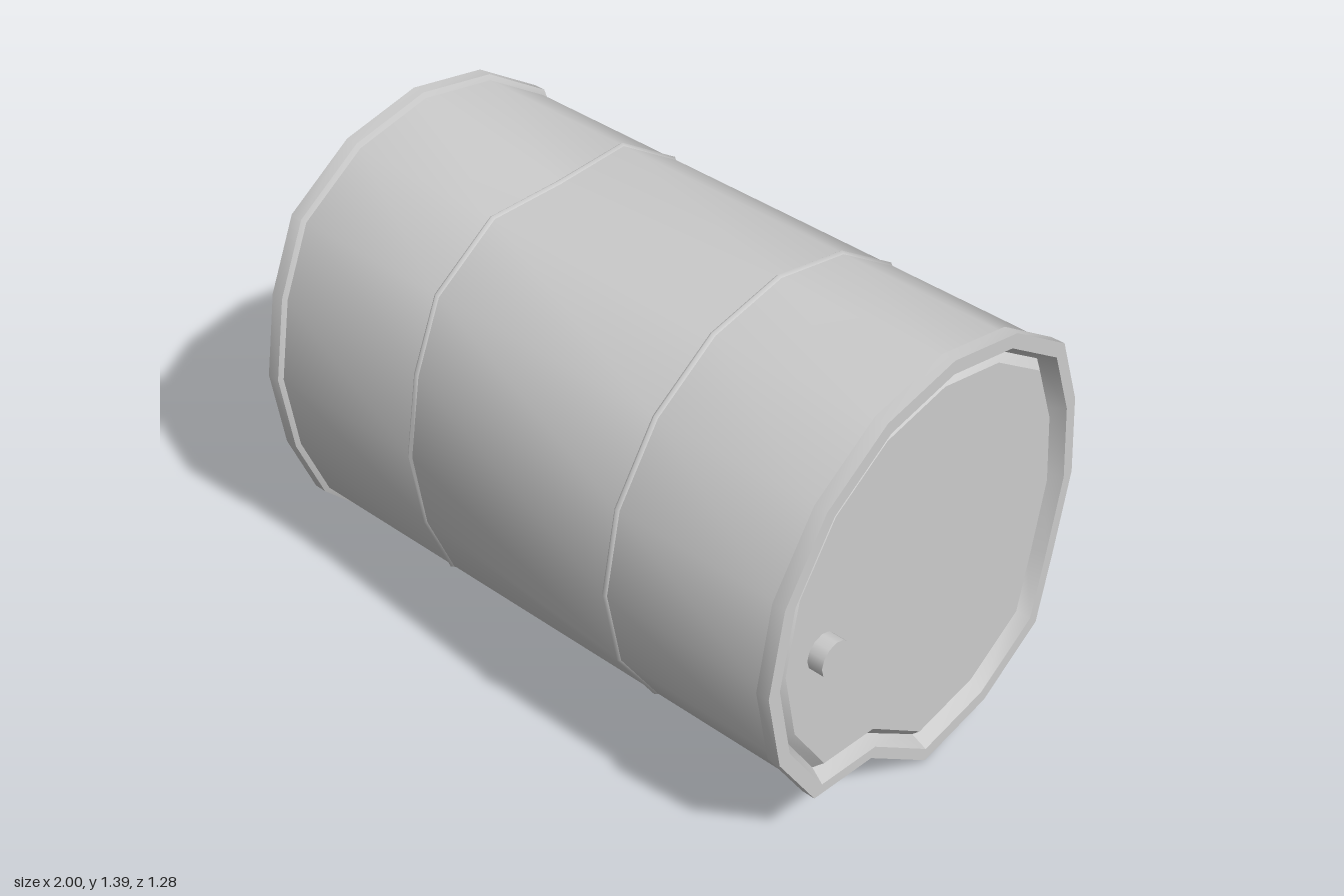
import * as THREE from 'three';
import { toCreasedNormals } from 'three/addons/utils/BufferGeometryUtils.js';

const SIDES = 16, CY = 0.7, CZ = -0.05;
const RIM = 0.69, BODY = 0.674;

// Dents as [dz, dy] per corner (0 = top, 4 = front, 8 = bottom, 12 = back) at four stations along the drum
const backDent = { 11: [0.1, 0], 12: [0.1, 0], 13: [0.07, 0] };
const frontDent = { 3: [-0.055, 0], 4: [-0.065, 0], 5: [-0.055, 0] };
const stations = [
  { x: -0.95, dents: { ...backDent, ...frontDent, 7: [0.016, -0.062] } },
  { x: -0.42, dents: { ...backDent, ...frontDent, 0: [0, -0.06] } },
  { x: 0.39, dents: { 11: [0.12, 0], 12: [0.155, 0], 13: [0.12, 0] } },
  { x: 0.95, dents: { ...backDent, 7: [-0.015, 0.13] } },
];

// Dent of one corner, interpolated along x
function dentAt(x, i) {
  const cx = THREE.MathUtils.clamp(x, stations[0].x, stations[3].x);
  const k = cx < stations[1].x ? 0 : cx < stations[2].x ? 1 : 2;
  const a = stations[k], b = stations[k + 1];
  const t = (cx - a.x) / (b.x - a.x);
  const p = a.dents[i] || [0, 0], q = b.dents[i] || [0, 0];
  return [p[0] + (q[0] - p[0]) * t, p[1] + (q[1] - p[1]) * t];
}

function point([x, r], i) {
  const a = (i / SIDES) * Math.PI * 2;
  const [dz, dy] = dentAt(x, i % SIDES);
  const s = r / RIM;
  return [x, CY + r * Math.cos(a) + dy * s, CZ + r * Math.sin(a) + dz * s];
}

// Sweep a profile of [x, radius] points around the dented outline
function loft(profile, crease) {
  const pos = [];
  for (let j = 0; j < profile.length - 1; j++) {
    const p = profile[j], q = profile[j + 1];
    for (let i = 0; i < SIDES; i++) {
      const a = point(p, i), b = point(p, i + 1), c = point(q, i + 1), d = point(q, i);
      if (p[1] > 0) pos.push(...a, ...b, ...(q[1] > 0 ? c : d));
      if (q[1] > 0) pos.push(...a, ...c, ...d);
    }
  }
  const g = new THREE.BufferGeometry();
  g.setAttribute('position', new THREE.Float32BufferAttribute(pos, 3));
  return toCreasedNormals(g, crease);
}

export function createModel() {
  const group = new THREE.Group();
  const material = new THREE.MeshStandardMaterial({ color: 0xcccccc });
  const add = (name, geometry) => {
    const mesh = new THREE.Mesh(geometry, material);
    mesh.name = name;
    group.add(mesh);
    return mesh;
  };

  // Smooth shell sections between the rims and hoops
  const seams = [-0.955, -0.42, 0.39, 0.935];
  for (let k = 0; k < 3; k++) add('shellSection', loft([[seams[k], BODY], [seams[k + 1], BODY]], 1.6));

  // Two thin raised hoops
  for (const x of [-0.42, 0.39]) {
    add('hoop', loft([[x - 0.009, BODY], [x, BODY + 0.007], [x + 0.009, BODY]], 1.6));
  }

  // Rolled rims
  add('leftRim', loft([[-0.95, 0.622], [-1, 0.647], [-1, RIM], [-0.96, RIM], [-0.952, BODY]], 0.7));
  add('rightRim', loft([[0.926, BODY], [0.934, RIM], [0.976, RIM], [0.976, 0.647], [0.926, 0.622]], 0.7));

  // Flat lids, raised from a groove inside the rim
  add('leftLid', loft([[-0.975, 0], [-0.975, 0.596], [-0.95, 0.622]], 0.4));
  add('rightLid', loft([[0.926, 0.622], [0.951, 0.596], [0.951, 0]], 0.4));

  // Bung on the right lid
  const bungGeometry = new THREE.CylinderGeometry(0.056, 0.056, 0.054, 12);
  bungGeometry.rotateZ(-Math.PI / 2);
  add('bung', bungGeometry).position.set(0.973, 0.7, 0.405);

  return group;
}
